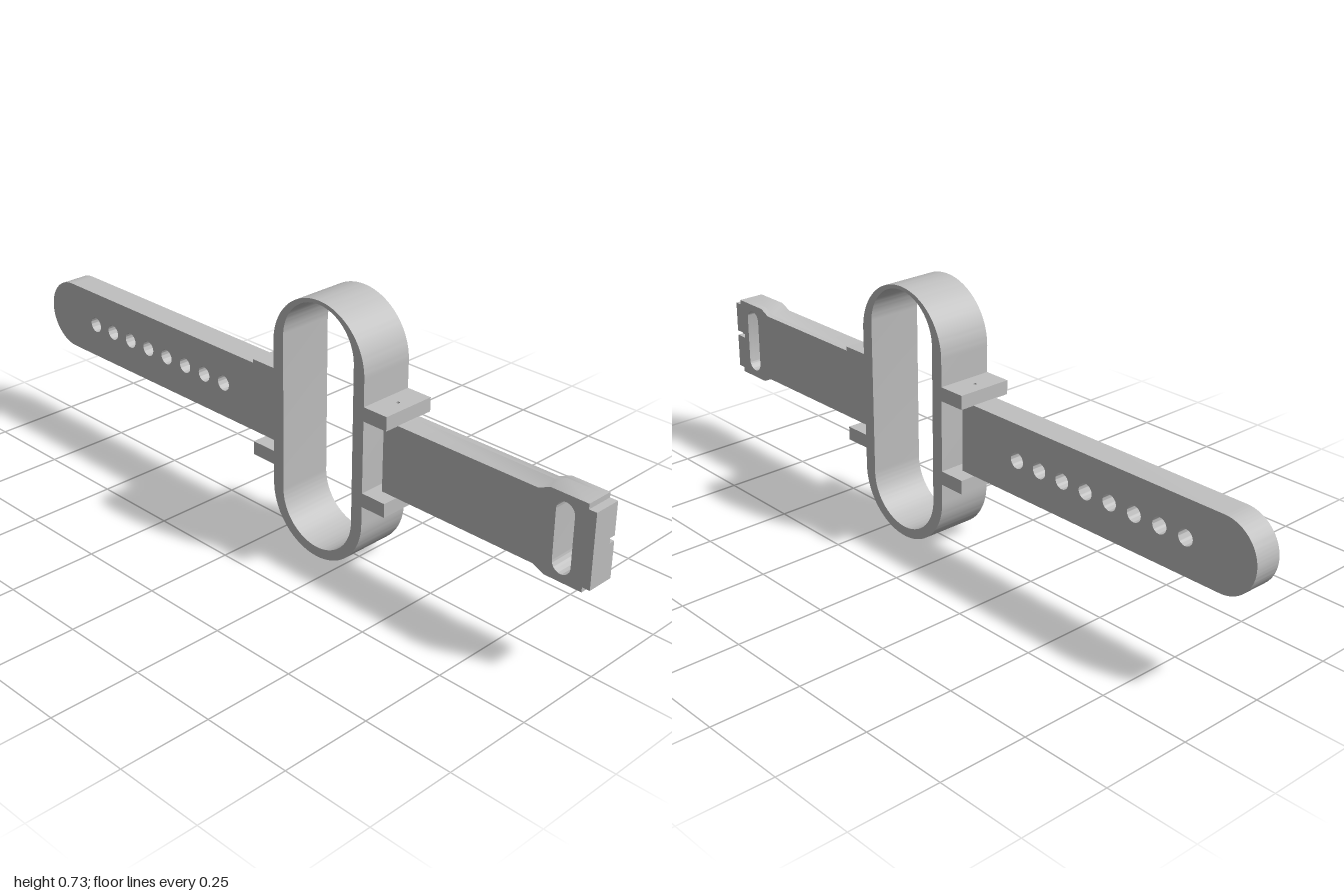
import * as THREE from 'three';
import { toCreasedNormals } from 'three/addons/utils/BufferGeometryUtils.js';

const MID_Y = 0.354;      // height of the strap centre line
const STRAP_Z = 0.039;    // half thickness of the straps
const CASE_Z = 0.08;      // half depth of the case and lugs

// Upright slot outline with rounded ends (any Path type)
function slot(path, x0, x1, y0, y1) {
  const r = (x1 - x0) / 2, cx = (x0 + x1) / 2;
  path.moveTo(x1, y0 + r);
  path.lineTo(x1, y1 - r);
  path.absarc(cx, y1 - r, r, 0, Math.PI, false);
  path.lineTo(x0, y0 + r);
  path.absarc(cx, y0 + r, r, Math.PI, Math.PI * 2, false);
  return path;
}

function circle(x, y, r) {
  const path = new THREE.Path();
  path.absarc(x, y, r, 0, Math.PI * 2, true);
  return path;
}

function polygon(points) {
  return new THREE.Shape(points.map(([x, y]) => new THREE.Vector2(x, y)));
}

// Solid from z0 to z1, with smooth curves and sharp edges
function slab(shape, z0, z1) {
  const geometry = new THREE.ExtrudeGeometry(shape, {
    depth: z1 - z0, bevelEnabled: false, curveSegments: 32,
  });
  geometry.translate(0, 0, z0);
  return toCreasedNormals(geometry, 0.5);
}

export function createModel() {
  const model = new THREE.Group();
  model.name = 'wristbandFrame';
  const grey = new THREE.MeshStandardMaterial({ color: 0xc0c0c0 });
  grey.name = 'grey';

  function add(name, geometry) {
    const mesh = new THREE.Mesh(geometry, grey);
    mesh.name = name;
    model.add(mesh);
    return mesh;
  }

  // Oblong case ring
  const ring = slot(new THREE.Shape(), 0.01, 0.33, 0, 0.726);
  ring.holes.push(slot(new THREE.Path(), 0.046, 0.294, 0.028, 0.716));
  add('caseRing', slab(ring, -CASE_Z, CASE_Z));

  // Four lugs, each with a small pin hole
  for (const [side, x0, x1, pinX] of [['right', -0.068, 0.016, -0.03], ['left', 0.324, 0.406, 0.37]]) {
    for (const [level, y] of [['Upper', 0.453], ['Lower', 0.213]]) {
      const plate = polygon([[x0, -CASE_Z], [x1, -CASE_Z], [x1, CASE_Z], [x0, CASE_Z]]);
      plate.holes.push(circle(pinX, 0, 0.005));
      const geometry = slab(plate, 0, 0.039);
      geometry.rotateX(-Math.PI / 2);
      add(`${side}${level}Lug`, geometry).position.y = y;
    }
  }

  // Long strap with rounded tip and a row of holes
  const bottom = MID_Y - 0.1, top = MID_Y + 0.1;
  const strap = new THREE.Shape();
  strap.moveTo(-0.9, bottom);
  strap.lineTo(-0.025, bottom);
  strap.lineTo(-0.025, top);
  strap.lineTo(-0.9, top);
  strap.absarc(-0.9, MID_Y, 0.1, Math.PI / 2, Math.PI * 1.5, false);
  for (let i = 0; i < 8; i++) strap.holes.push(circle(-0.792 + i * 0.08, MID_Y, 0.022));
  add('holedStrap', slab(strap, -STRAP_Z, STRAP_Z));

  // Short strap widening into the buckle; the rear layer carries the prong notch
  const half = [[0.36, 0.1], [0.838, 0.1], [0.87, 0.115], [0.978, 0.115], [0.978, 0.101], [1, 0.101]];
  const lower = half.map(([x, h]) => [x, MID_Y - h]);
  const upper = half.map(([x, h]) => [x, MID_Y + h]).reverse();
  const notch = [[1, 0.352], [0.965, 0.352], [0.965, 0.366], [1, 0.366]];
  const layers = [
    ['buckleStrapFront', [], -0.022, STRAP_Z],
    ['buckleStrapBack', notch, -STRAP_Z, -0.022],
  ];
  for (const [name, cut, z0, z1] of layers) {
    const shape = polygon([...lower, ...cut, ...upper]);
    shape.holes.push(slot(new THREE.Path(), 0.89, 0.943, 0.26, 0.448));
    add(name, slab(shape, z0, z1));
  }

  return model;
}
